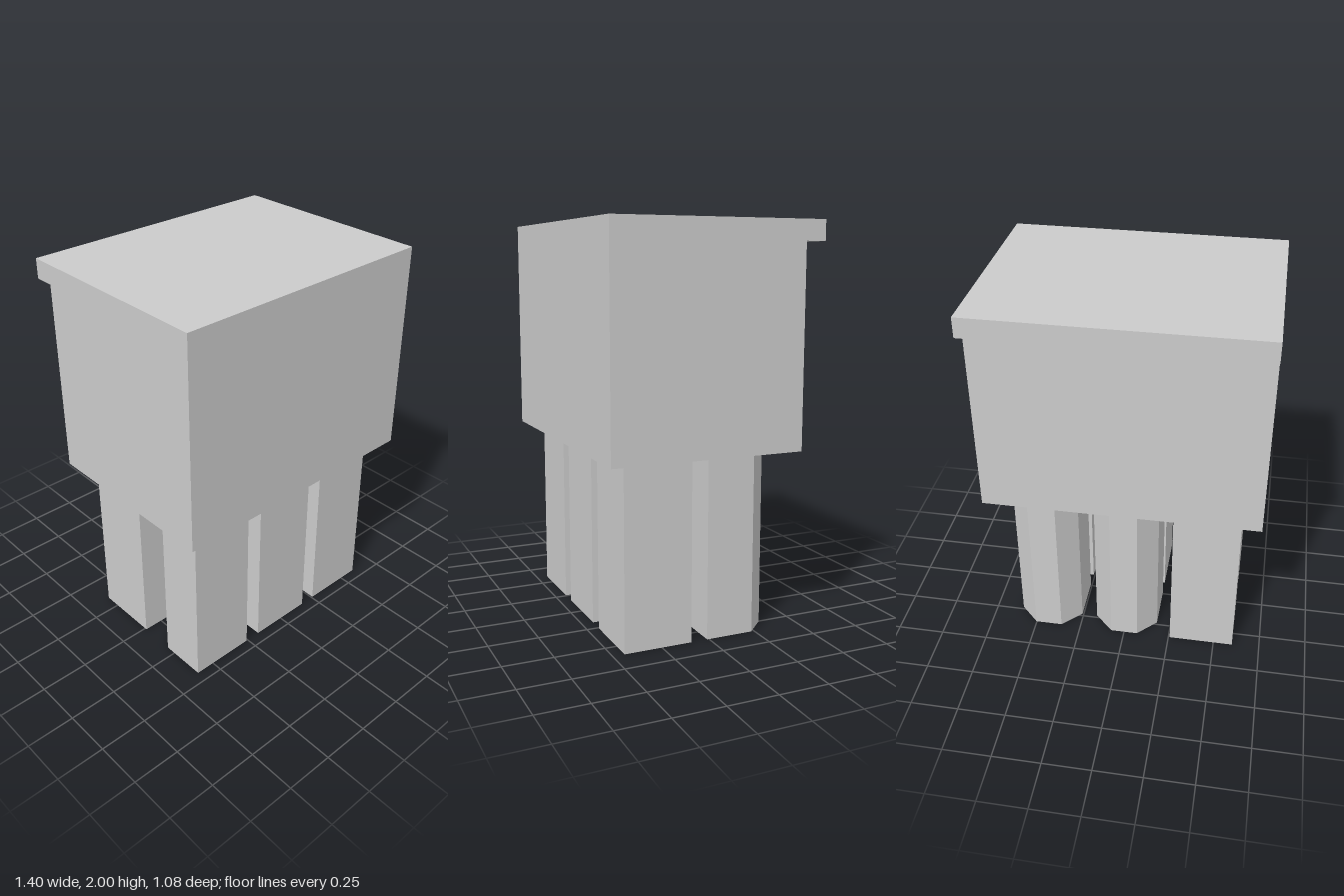
import * as THREE from 'three';

const material = new THREE.MeshStandardMaterial({ color: 0xcccccc, flatShading: true });

const BODY_WIDTH = 1.404;
const BODY_BOTTOM = 0.91;
const PIN_SIZE = 0.345;
const PIN_PITCH = 0.43;
const CHAMFER = 0.1;

function shapeOf(points) {
  return new THREE.Shape(points.map(([x, y]) => new THREE.Vector2(x, y)));
}

// Housing: side profile (z, y) with a lip along the top back edge, swept across x
function housingGeometry() {
  const profile = shapeOf([
    [0.54, BODY_BOTTOM], [0.54, 2], [-0.54, 2],
    [-0.54, 1.9], [-0.437, 1.9], [-0.437, BODY_BOTTOM],
  ]);
  return new THREE.ExtrudeGeometry(profile, { depth: BODY_WIDTH, bevelEnabled: false })
    .rotateY(-Math.PI / 2)
    .translate(BODY_WIDTH / 2, 0, 0);
}

// Pin: square prism, or one with both back corners cut off
function pinGeometry(chamfered) {
  const h = PIN_SIZE / 2;
  const c = CHAMFER;
  const back = chamfered
    ? [[h, h - c], [h - c, h], [-h + c, h], [-h, h - c]]
    : [[h, h], [-h, h]];
  const outline = shapeOf([[-h, -h], [h, -h], ...back]);
  return new THREE.ExtrudeGeometry(outline, { depth: BODY_BOTTOM, bevelEnabled: false })
    .rotateX(-Math.PI / 2);
}

export function createModel() {
  const model = new THREE.Group();
  model.name = 'connectorBlock';

  const housing = new THREE.Mesh(housingGeometry(), material);
  housing.name = 'housing';
  model.add(housing);

  // Two rows of three pins; flags run from -x to +x
  const square = pinGeometry(false);
  const chamfered = pinGeometry(true);
  const rows = [
    { name: 'frontPin', z: 0.268, cut: [true, false, false] },
    { name: 'backPin', z: -0.162, cut: [false, true, true] },
  ];
  for (const row of rows) {
    row.cut.forEach((cut, i) => {
      const pin = new THREE.Mesh(cut ? chamfered : square, material);
      pin.name = row.name + (i + 1);
      pin.position.set((i - 1) * PIN_PITCH, 0, row.z);
      model.add(pin);
    });
  }
  return model;
}
